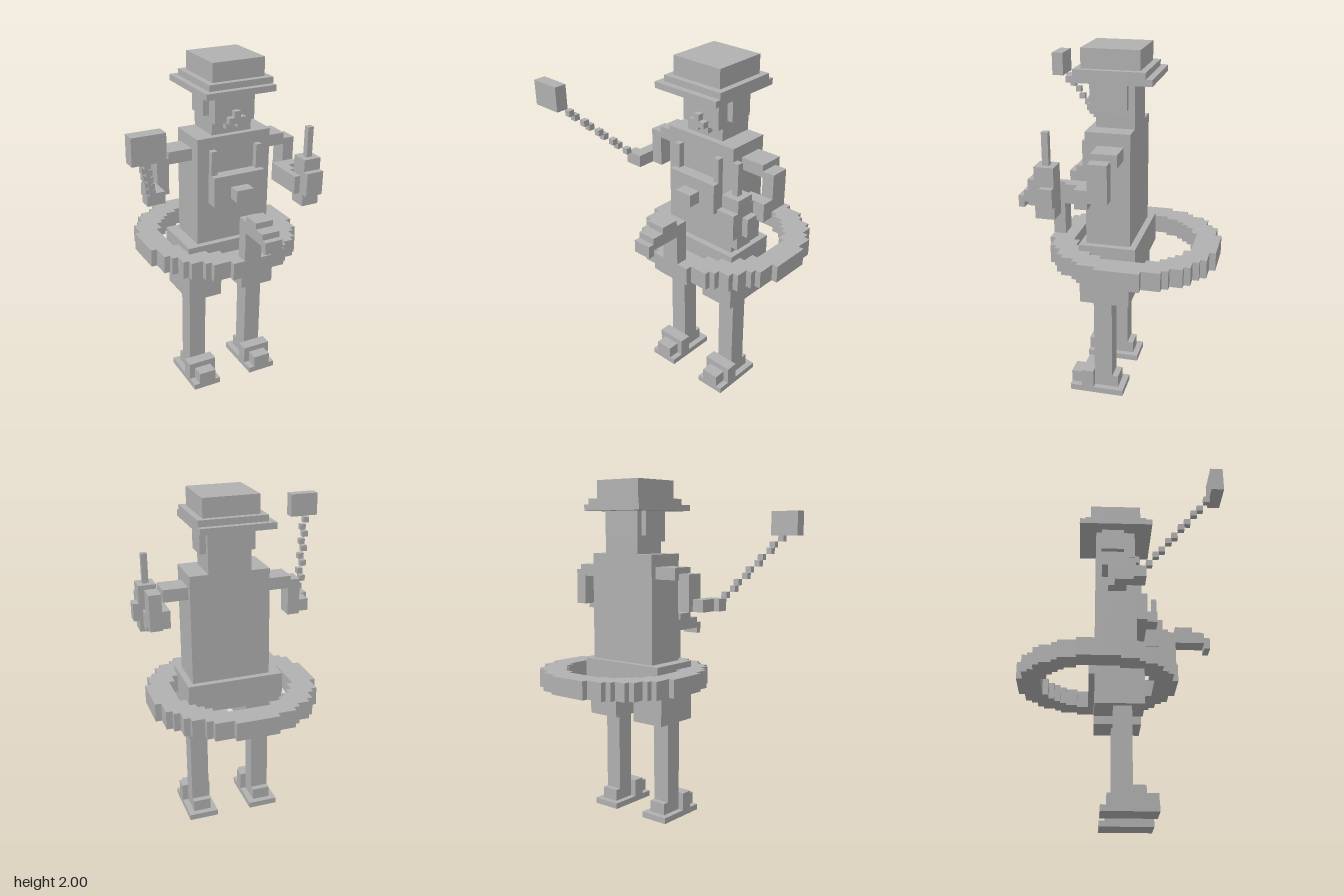
import * as THREE from 'three';

const U = 2 / 57; // one block

export function createModel() {
  const model = new THREE.Group();
  const grey = new THREE.MeshStandardMaterial({ color: 0xb0b0b0 });
  grey.name = 'plain grey';

  // Block given by its x, y and z ranges, in block units
  function block(parent, name, x0, x1, y0, y1, z0, z1) {
    const geo = new THREE.BoxGeometry((x1 - x0) * U, (y1 - y0) * U, (z1 - z0) * U);
    const mesh = new THREE.Mesh(geo, grey);
    mesh.position.set((x0 + x1) / 2 * U, (y0 + y1) / 2 * U, (z0 + z1) / 2 * U);
    mesh.name = name;
    parent.add(mesh);
  }
  function part(name) {
    const g = new THREE.Group();
    g.name = name;
    model.add(g);
    return g;
  }

  // Hat
  const hat = part('hat');
  block(hat, 'hatCrown', 0, 9, 54, 57, -4.5, 4.5);
  block(hat, 'hatUpperBrim', -1, 10, 53, 54, -5.5, 5.5);
  block(hat, 'hatLowerBrim', -2, 10, 52, 53, -6.5, 6.5);

  // Head
  const head = part('head');
  block(head, 'face', 1, 8, 47, 52, -3.5, 3.5);
  block(head, 'chin', 1, 8, 45, 47, -3.5, 2.5);
  for (const x of [0, 8]) block(head, 'sidePanel', x, x + 1, 48, 52, -2.5, 1.5);
  block(head, 'nose', 4, 5, 47, 49, 3.5, 4.5);
  block(head, 'moustache', 3, 6, 47, 48, 3.5, 4.5);
  for (const x of [3, 5]) block(head, 'moustacheTip', x, x + 1, 46, 47, 2.5, 3.5);

  // Torso, straps and pouch
  const torso = part('torso');
  block(torso, 'chest', -2, 11, 27, 45, -3.5, 3.5);
  for (const x of [0, 8]) block(torso, 'strap', x, x + 1, 39, 43, 3.5, 4.5);
  block(torso, 'pouch', 0, 9, 34, 39, 3.5, 5.5);
  block(torso, 'pouchBuckle', 3, 6, 35, 37, 5.5, 7.5);
  block(torso, 'hips', -4, 12, 22, 27, -4.5, 4.5);

  // Legs and shoes
  for (const x of [-4, 6]) {
    const leg = part(x < 0 ? 'rightLeg' : 'leftLeg');
    const s = x < 0 ? -4 : 7;
    block(leg, 'thigh', x, x + 6, 17, 22, -3.5, 4.5);
    block(leg, 'shin', s + 1, s + 4, 1, 17, -0.5, 2.5);
    block(leg, 'sole', s, s + 5, 0, 1, -2.5, 6.5);
    block(leg, 'heel', s + 1, s + 4, 1, 3, -1.5, 2.5);
    block(leg, 'shoeRidge', s, s + 5, 1, 4, 2.5, 4.5);
    block(leg, 'toe', s + 1, s + 4, 1, 3, 4.5, 6.5);
  }

  // Swim ring: stepped circle with a stepped hole
  function steppedCircle(r) {
    const n = Math.floor(r), right = [], left = [];
    for (let d = -n; d <= n; d++) {
      const w = Math.floor(Math.sqrt(r * r - d * d)) + 0.5;
      right.push(new THREE.Vector2(w * U, (d - 0.5) * U), new THREE.Vector2(w * U, (d + 0.5) * U));
      left.push(new THREE.Vector2(-w * U, (d - 0.5) * U), new THREE.Vector2(-w * U, (d + 0.5) * U));
    }
    const all = right.concat(left.reverse());
    // drop repeated corners between rows of equal width
    return all.filter((p, i) => !p.equals(all[(i + 1) % all.length]));
  }
  const ringShape = new THREE.Shape(steppedCircle(13.5));
  ringShape.holes.push(new THREE.Path(steppedCircle(9.5)));
  const ringGeo = new THREE.ExtrudeGeometry(ringShape, { depth: 3 * U, bevelEnabled: false });
  ringGeo.rotateX(-Math.PI / 2);
  const ring = new THREE.Mesh(ringGeo, grey);
  ring.position.set(4.5 * U, 23 * U, -3 * U);
  ring.name = 'swimRing';
  model.add(ring);

  // Animal neck and head at the front of the ring
  const animal = part('ringAnimal');
  block(animal, 'ringNeck', 3, 6, 26, 33, 8.5, 10.5);
  block(animal, 'ringHead', 3, 6, 31, 34, 10.5, 13.5);
  block(animal, 'ringSnout', 3, 6, 31, 33, 13.5, 15.5);
  block(animal, 'ringSnoutTip', 3, 6, 30, 32, 15.5, 16.5);

  // Right arm holding a chain with a plate on its end
  const rightArm = part('rightArm');
  block(rightArm, 'upperArm', -6, -2, 41, 43, -2.5, 1.5);
  block(rightArm, 'elbow', -8, -6, 36, 42, -1.5, 1.5);
  block(rightArm, 'forearm', -10, -8, 36, 38, -0.5, 4.5);
  block(rightArm, 'hand', -11, -10, 36, 38, 2.5, 4.5);
  for (let i = 0; i < 10; i++) {
    const x = -11 - Math.ceil(i / 2);
    block(rightArm, 'chainLink', x, x + 1, 38 + i, 39 + i, 4.5 + i, 5.5 + i);
  }
  block(rightArm, 'chainPlate', -18, -13, 48, 52, 14.5, 16.5);

  // Left arm holding a cup with a straw
  const leftArm = part('leftArm');
  block(leftArm, 'upperArm', 11, 15, 41, 43, -2.5, 1.5);
  block(leftArm, 'elbow', 15, 17, 36, 42, -1.5, 1.5);
  block(leftArm, 'wrist', 14, 17, 35, 38, 1.5, 3.5);
  block(leftArm, 'forearm', 13, 15, 35, 38, 1.5, 5.5);
  block(leftArm, 'palm', 13, 14, 35, 38, 5.5, 8.5);
  block(leftArm, 'thumb', 17, 18, 35, 38, 6.5, 8.5);
  block(leftArm, 'fingers', 14, 17, 35, 39, 9.5, 10.5);
  block(leftArm, 'cup', 14, 17, 33, 41, 6.5, 9.5);
  block(leftArm, 'straw', 15, 16, 41, 46, 7.5, 8.5);

  return model;
}
